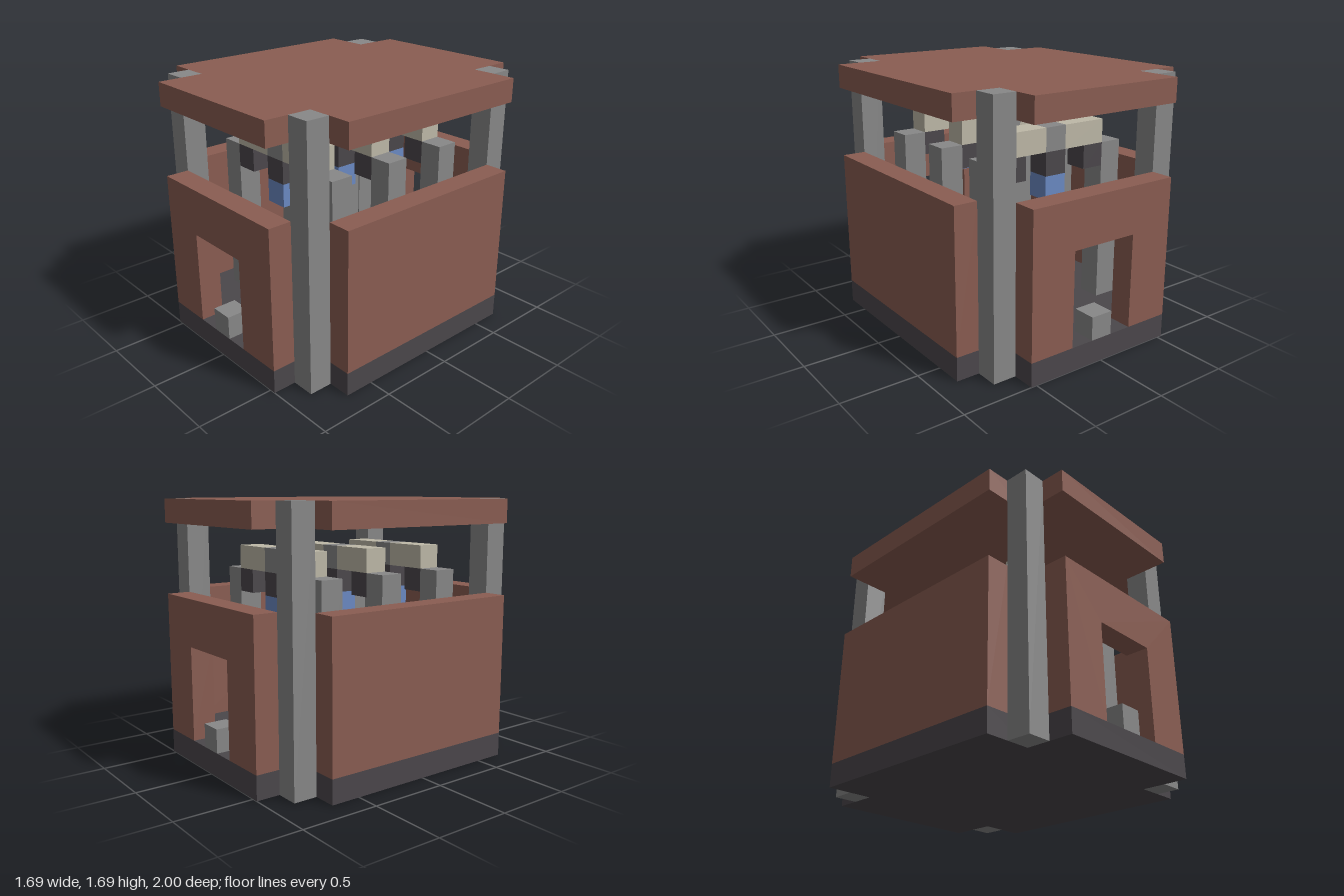
import * as THREE from 'three';

const U = 2 / 13; // one block

const material = (name, color) => {
  const m = new THREE.MeshStandardMaterial({ color });
  m.name = name;
  return m;
};

export function createModel() {
  const brick = material('brick', 0x8a5d52);
  const stone = material('stone', 0x888888);
  const dark = material('darkStone', 0x4b474b);
  const beige = material('paleBeam', 0xbeb9a8);
  const blue = material('blueLamp', 0x6b8ac4);

  const model = new THREE.Group();
  model.name = 'pavilion';

  // Box centred at block (x, z), spanning y0..y1, all in blocks
  const box = (name, mat, x, z, y0, y1, w = 1, d = 1) => {
    const mesh = new THREE.Mesh(new THREE.BoxGeometry(w * U, (y1 - y0) * U, d * U), mat);
    mesh.position.set(x * U, (y0 + y1) / 2 * U, z * U);
    mesh.name = name;
    model.add(mesh);
  };

  // Cross-shaped slab with notched corners
  const slab = (name, mat, y0, height) => {
    const pts = [[3.5, 6.5], [3.5, 4.5], [5.5, 4.5], [5.5, -4.5], [3.5, -4.5], [3.5, -6.5],
      [-3.5, -6.5], [-3.5, -4.5], [-5.5, -4.5], [-5.5, 4.5], [-3.5, 4.5], [-3.5, 6.5]];
    const shape = new THREE.Shape(pts.map(([x, z]) => new THREE.Vector2(x * U, z * U)));
    const geo = new THREE.ExtrudeGeometry(shape, { depth: height * U, bevelEnabled: false });
    geo.rotateX(-Math.PI / 2);
    const mesh = new THREE.Mesh(geo, mat);
    mesh.position.y = y0 * U;
    mesh.name = name;
    model.add(mesh);
  };

  slab('floor', dark, 0, 1);
  slab('roof', brick, 10, 1);

  // End wall with a doorway
  const wall = new THREE.Shape([[-3.5, 1], [-1.5, 1], [-1.5, 5], [1.5, 5], [1.5, 1], [3.5, 1], [3.5, 7], [-3.5, 7]]
    .map(([x, y]) => new THREE.Vector2(x * U, y * U)));
  const wallGeo = new THREE.ExtrudeGeometry(wall, { depth: U, bevelEnabled: false });

  for (const s of [-1, 1]) {
    const endWall = new THREE.Mesh(wallGeo, brick);
    endWall.position.z = (s * 6 - 0.5) * U;
    endWall.name = s > 0 ? 'frontWall' : 'backWall';
    model.add(endWall);
    box('doorBlock', stone, 0, s * 6, 1, 2);
    box('sideWall', brick, s * 5, 0, 1, 7, 1, 9);
    for (const t of [-1, 1]) box('cornerPost', stone, s * 4, t * 5, 0, 11);
  }

  // Three inner arches: pillars, brackets, beam, keystone and lamp
  for (const z of [-3, 0, 3]) {
    for (const s of [-1, 1]) {
      box('pillar', stone, s * 3, z, 1, 8);
      box('bracket', dark, s * 2, z, 7, 8);
      box('beam', beige, s * 1.5, z, 8, 9, 2);
    }
    box('keystone', stone, 0, z, 8, 9);
    box('lampHolder', dark, 0, z, 7, 8);
    box('lamp', blue, 0, z, 6, 7);
  }
  return model;
}
